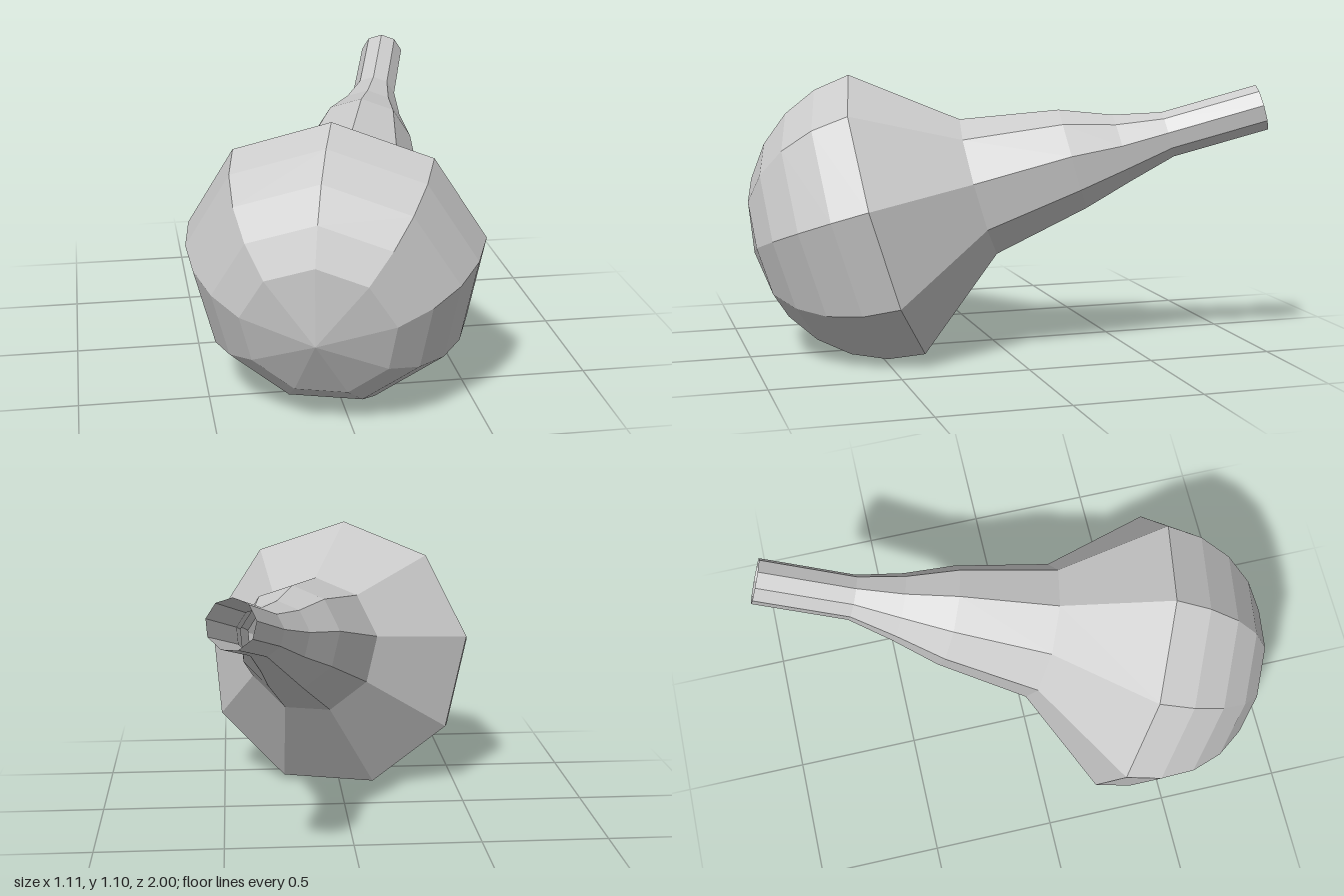
import * as THREE from 'three';

const SIDES = 9;

// Skin a list of parallel polygon rings { center, radius }
function skinRings(rings, u, v) {
  const pos = [], index = [];
  for (const { center, radius } of rings) {
    for (let j = 0; j < SIDES; j++) {
      const t = (j / SIDES) * Math.PI * 2;
      const p = center.clone()
        .addScaledVector(u, radius * Math.cos(t))
        .addScaledVector(v, radius * Math.sin(t));
      pos.push(p.x, p.y, p.z);
    }
  }
  for (let i = 0; i < rings.length - 1; i++) {
    for (let j = 0; j < SIDES; j++) {
      const k = (j + 1) % SIDES;
      const a = i * SIDES + j, b = i * SIDES + k;
      const c = a + SIDES, d = b + SIDES;
      index.push(a, d, c);
      if (rings[i].radius > 0) index.push(a, b, d);
    }
  }
  const geo = new THREE.BufferGeometry();
  geo.setAttribute('position', new THREE.Float32BufferAttribute(pos, 3));
  geo.setIndex(index);
  geo.computeVertexNormals();
  return geo;
}

export function createModel() {
  const group = new THREE.Group();
  const material = new THREE.MeshStandardMaterial({
    color: 0xcccccc, flatShading: true, side: THREE.DoubleSide,
  });

  // Tilted axis pointing out of the rounded end, and the ring plane across it
  const axis = new THREE.Vector3(-0.286, -0.275, 0.917).normalize();
  const u = new THREE.Vector3(-0.046, 0.56, 0.15);
  u.addScaledVector(axis, -u.dot(axis)).normalize();
  const v = new THREE.Vector3().crossVectors(u, axis);

  // Rounded bulb, from its pole to the widest ring
  const middle = new THREE.Vector3(0.006, 0.54, 0.431);
  const bulb = [0, 30, 45, 60, 75, 90].map((deg) => {
    const a = THREE.MathUtils.degToRad(deg);
    return {
      center: middle.clone().addScaledVector(axis, 0.57 * Math.cos(a)),
      radius: 0.58 * Math.sin(a),
    };
  });

  // Neck that narrows into a straight, open spout
  const neck = [
    [0.13, 0.655, 0.095, 0.28],
    [0.235, 0.765, -0.26, 0.205],
    [0.295, 0.81, -0.445, 0.138],
    [0.352, 0.865, -0.615, 0.092],
    [0.457, 0.972, -0.968, 0.092],
  ].map(([x, y, z, radius]) => ({ center: new THREE.Vector3(x, y, z), radius }));

  const parts = { bulb, neck: [bulb[bulb.length - 1], ...neck] };
  for (const [name, rings] of Object.entries(parts)) {
    const mesh = new THREE.Mesh(skinRings(rings, u, v), material);
    mesh.name = name;
    group.add(mesh);
  }
  return group;
}
